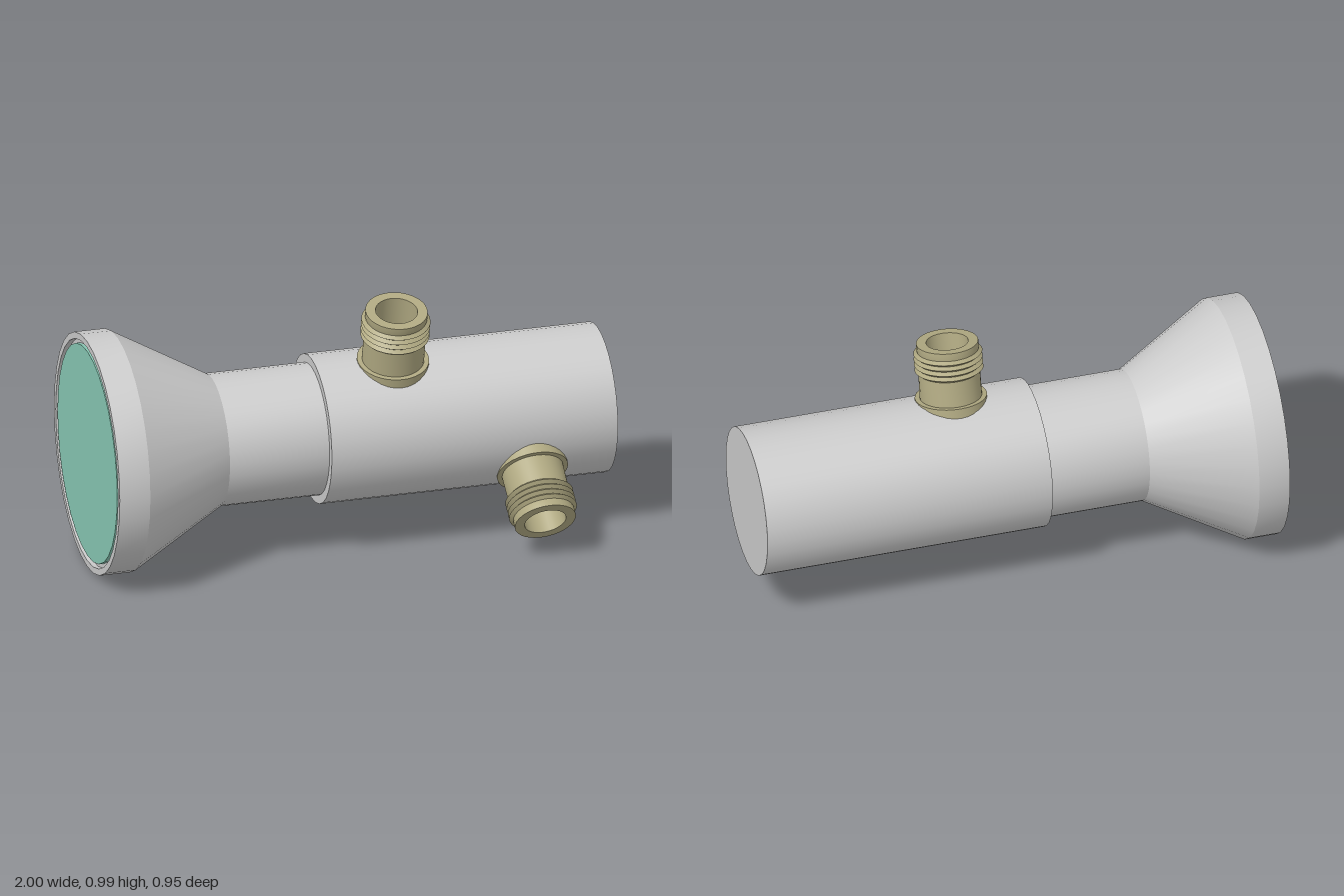
import * as THREE from 'three';
import { toCreasedNormals } from 'three/addons/utils/BufferGeometryUtils.js';

const AXIS_Y = 0.463, AXIS_Z = -0.012;

const grey = new THREE.MeshStandardMaterial({ color: 0xcccccc });
const brass = new THREE.MeshStandardMaterial({ color: 0xb0a982 });
const teal = new THREE.MeshStandardMaterial({ color: 0x88c8b4 });

// Turned part from [radius, height] pairs, running up the outside
function turned(name, profile, material, sides = 32) {
  const points = profile.map(([r, h]) => new THREE.Vector2(r, h));
  const geometry = toCreasedNormals(new THREE.LatheGeometry(points, sides), 0.4);
  const mesh = new THREE.Mesh(geometry, material);
  mesh.name = name;
  return mesh;
}

// Threaded socket standing radially on the barrel, hollow from the outer end
function connector(name, x, angle) {
  const socket = new THREE.Group();
  socket.name = name;

  const profile = [[0, 0.2], [0.137, 0.2], [0.137, 0.289], [0.118, 0.289]];
  for (let i = 0; i < 4; i++) {
    const h = 0.393 + i * 0.022;
    profile.push([0.117, h], [0.131, h + 0.011]);
  }
  profile.push([0.117, 0.481], [0.118, 0.485], [0.118, 0.512]);
  profile.push([0.08, 0.512], [0.08, 0.32], [0, 0.32]);
  socket.add(turned('threadedSocket', profile, brass));

  socket.position.x = x;
  socket.rotation.x = angle;
  return socket;
}

export function createModel() {
  const model = new THREE.Group();
  model.name = 'hornFeed';
  model.position.set(0, AXIS_Y, AXIS_Z);

  // Horn, neck and barrel share the long axis, turned from +y onto +x
  const body = new THREE.Group();
  body.name = 'body';
  body.rotation.z = -Math.PI / 2;
  body.add(turned('hornAndNeck', [
    [0, -0.985], [0.42, -0.985], [0.42, -0.98], [0.438, -0.98], [0.438, -1],
    [0.463, -1], [0.463, -0.88], [0.253, -0.51], [0.253, -0.1],
  ], grey));
  body.add(turned('barrel', [
    [0, -0.12], [0.286, -0.12], [0.286, 1], [0, 1],
  ], grey));

  // Coloured window closing the horn mouth
  body.add(turned('hornWindow', [
    [0, -0.998], [0.42, -0.998], [0.42, -0.982],
  ], teal));
  model.add(body);

  model.add(connector('upperConnector', 0.18, THREE.MathUtils.degToRad(13.2)));
  model.add(connector('lowerConnector', 0.68, THREE.MathUtils.degToRad(126.1)));

  const root = new THREE.Group();
  root.add(model);
  return root;
}
